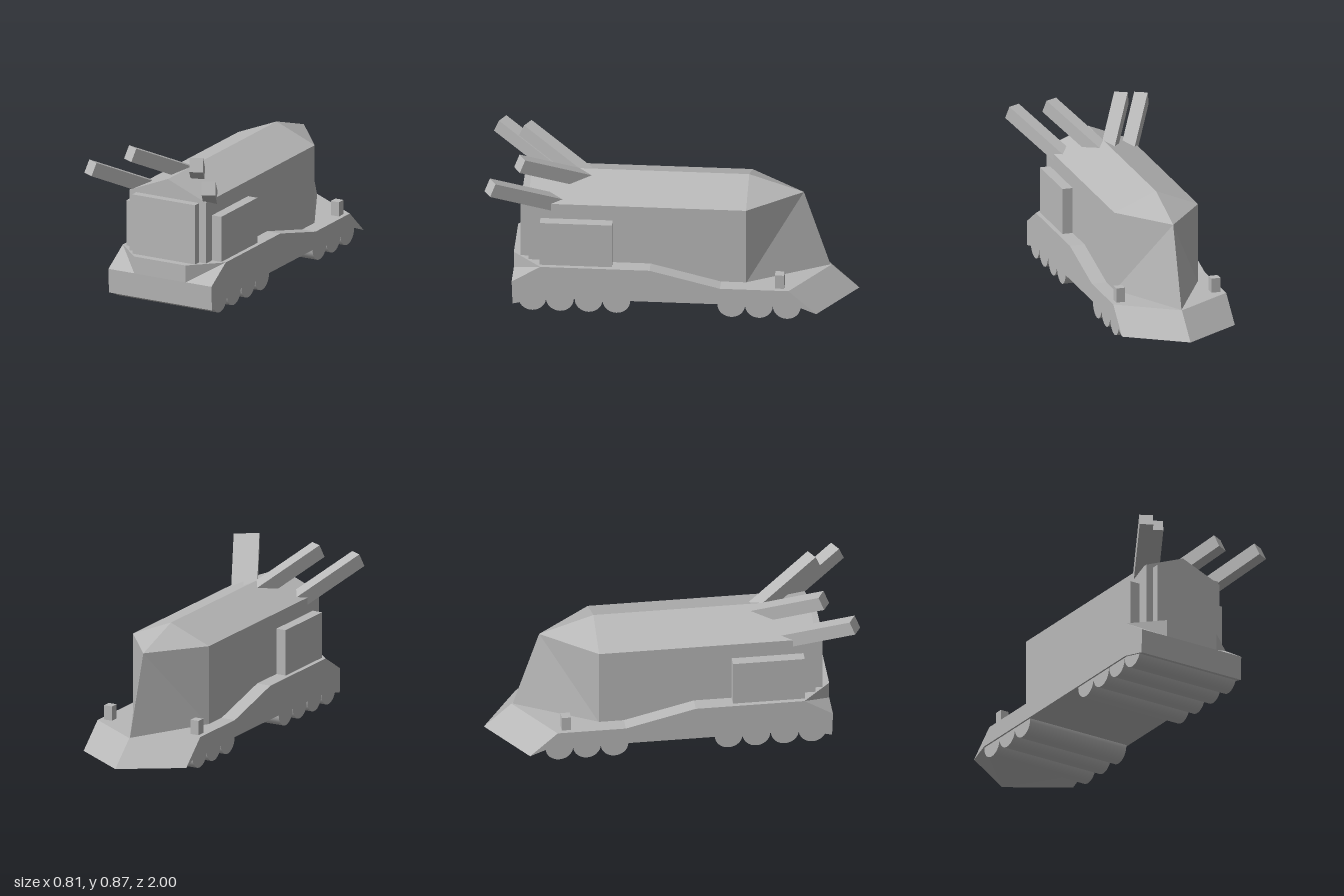
import * as THREE from 'three';

const grey = new THREE.MeshStandardMaterial({ color: 0xb8b8b8 });
grey.name = 'plainGrey';

// Builds a flat-faced solid from the faces of its +x half, mirrored across x = 0
function mirroredSolid(name, points, faces) {
  const pos = [];
  for (const face of faces) {
    const v = face.split(' ').map((k) => points[k]);
    for (let i = 1; i < v.length - 1; i++) {
      pos.push(...v[0], ...v[i], ...v[i + 1]);
      for (const [x, y, z] of [v[0], v[i + 1], v[i]]) pos.push(-x, y, z);
    }
  }
  const geo = new THREE.BufferGeometry();
  geo.setAttribute('position', new THREE.Float32BufferAttribute(pos, 3));
  geo.computeVertexNormals();
  const mesh = new THREE.Mesh(geo, grey);
  mesh.name = name;
  return mesh;
}

// Box given by its lower and upper corners
function box(name, [x0, y0, z0], [x1, y1, z1]) {
  const mesh = new THREE.Mesh(new THREE.BoxGeometry(x1 - x0, y1 - y0, z1 - z0), grey);
  mesh.position.set((x0 + x1) / 2, (y0 + y1) / 2, (z0 + z1) / 2);
  mesh.name = name;
  return mesh;
}

// Square beam whose outer end is centred on tip, slanting back into the roof
function beam(name, tip, length, side) {
  const geo = new THREE.BoxGeometry(0.074, 0.077, length).translate(0, 0, -length / 2);
  const mesh = new THREE.Mesh(geo, grey);
  mesh.rotation.order = 'YXZ';
  mesh.rotation.set(-0.425, side * 0.495, 0);
  mesh.position.set(side * tip[0], tip[1], tip[2]);
  mesh.name = name;
  return mesh;
}

export function createModel() {
  const model = new THREE.Group();
  model.name = 'armouredCarrier';

  // Chassis: cut front corners, stepped deck, wedge-shaped back
  const w = 0.32;
  model.add(mirroredSolid('chassis', {
    A: [w, 0.27, 0.70], B: [0.16, 0.27, 0.855], B0: [0, 0.27, 0.855],
    C: [0.16, 0.175, 0.855], C0: [0, 0.175, 0.855], D: [w, 0.175, 0.855],
    E: [w, 0.04, 0.85], E0: [0, 0.04, 0.85], F: [w, 0.08, 0.69], F0: [0, 0.08, 0.69],
    G: [w, 0.08, -0.69], G0: [0, 0.08, -0.69], H: [w, 0.04, -0.79], H0: [0, 0.04, -1],
    I: [w, 0.175, -0.64], I0: [0, 0.175, -0.85], J: [w, 0.175, -0.27], J0: [0, 0.175, -0.27],
    K: [w, 0.27, 0.11], K0: [0, 0.27, 0.11],
  }, [
    'I J G H', 'J K F G', 'K A F', 'A D E F',            // sides
    'K0 B0 B A K', 'J0 K0 K J', 'I0 J0 J I',             // deck
    'I0 I H H0', 'H0 H G G0', 'G0 G F F0', 'F0 F E E0',  // wedge and belly
    'E0 E D C C0', 'C0 C B B0', 'A C D', 'A B C',        // front and cut corners
  ]));

  // Cabin: gabled roof, flat front, pointed back
  const c = 0.237;
  model.add(mirroredSolid('cabin', {
    a: [c, 0.17, 0.77], a0: [0, 0.17, 0.77], b: [c, 0.613, 0.77], r: [0, 0.71, 0.77],
    d: [c, 0.17, -0.405], e: [c, 0.613, -0.405], s: [0, 0.71, -0.405],
    n: [0, 0.613, -0.70], m: [0, 0.17, -0.845],
  }, ['a0 a b r', 'a d e b', 'r b e s', 's e n', 'e d n', 'd m n', 'a0 m d a']));

  model.add(box('frontDoor', [-0.195, 0.265, 0.76], [0.195, 0.605, 0.815]));

  for (const side of [-1, 1]) {
    const label = side > 0 ? 'left' : 'right';
    const panel = box(label + 'SidePanel', [-0.04, 0.265, 0.315], [0.04, 0.525, 0.705]);
    panel.position.x = side * 0.255;
    const post = box(label + 'RearPost', [-0.025, 0.17, -0.615], [0.025, 0.255, -0.565]);
    post.position.x = side * 0.27;
    model.add(panel, post);
    model.add(beam(label + 'InnerBeam', [0.205, 0.835, 0.82], 0.48, side));
    model.add(beam(label + 'OuterBeam', [0.367, 0.77, 0.968], 0.45, side));
  }

  // Rollers spanning the full width
  const roller = new THREE.CylinderGeometry(0.075, 0.075, 0.62, 32).rotateZ(Math.PI / 2);
  [0.745, 0.595, 0.44, 0.29, -0.33, -0.48, -0.63].forEach((z, i) => {
    const mesh = new THREE.Mesh(roller, grey);
    mesh.position.set(0, 0.075, z);
    mesh.name = 'roller' + (i + 1);
    model.add(mesh);
  });

  return model;
}
